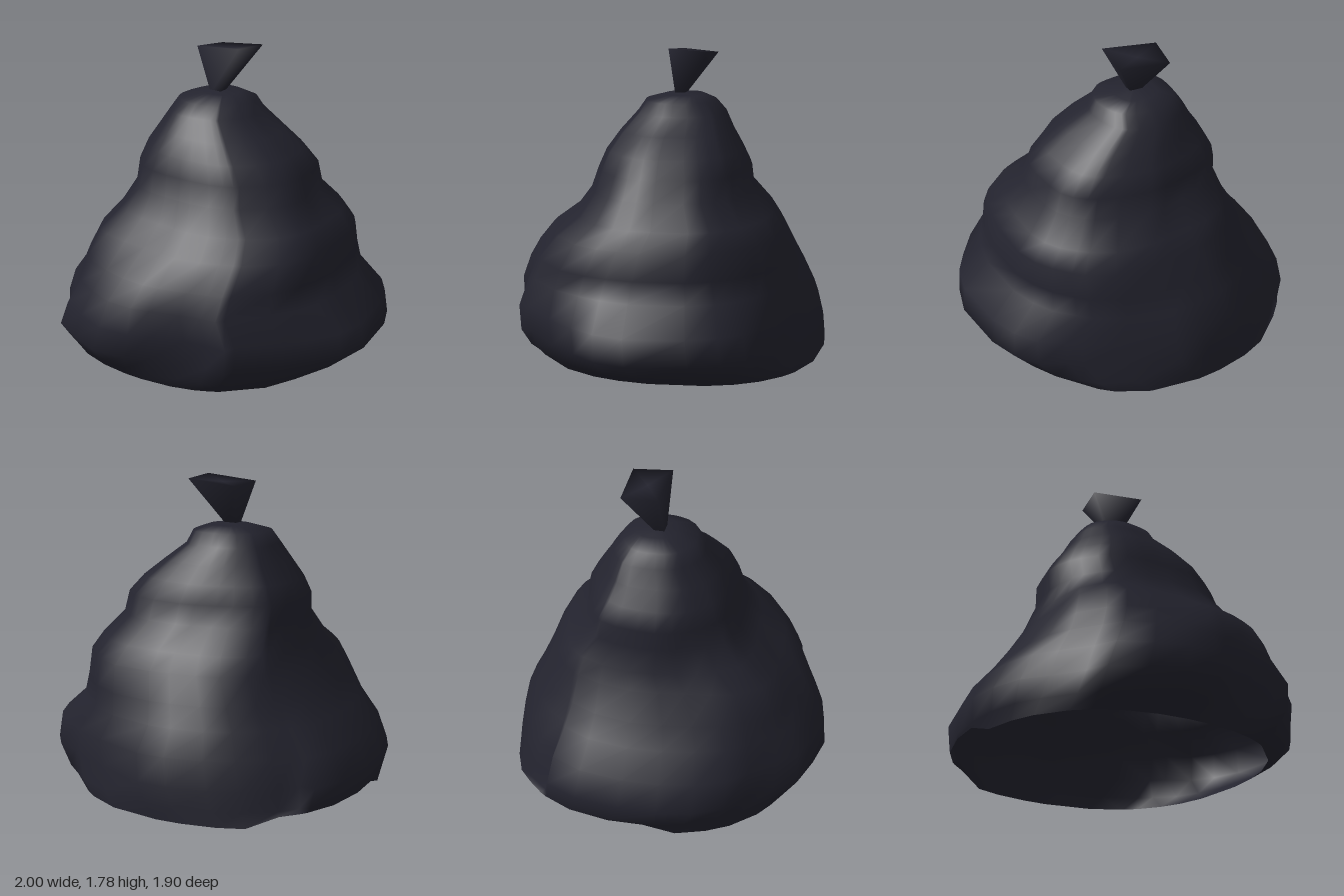
import * as THREE from 'three';

const { smoothstep, lerp } = THREE.MathUtils;

// Joins closed rings of points, listed from bottom to top, into one smooth skin
function loft(rings) {
  const n = rings[0].length, index = [];
  for (let r = 0; r < rings.length - 1; r++) {
    for (let i = 0; i < n; i++) {
      const a = r * n + i, b = r * n + (i + 1) % n;
      index.push(a, a + n, b, b, a + n, b + n);
    }
  }
  const geometry = new THREE.BufferGeometry();
  geometry.setAttribute('position', new THREE.Float32BufferAttribute(rings.flat(2), 3));
  geometry.setIndex(index);
  geometry.computeVertexNormals();
  return geometry;
}

// Crumpled plan outline at the widest height: [x, z], clockwise from above
const outline = [
  [-1, 0], [-0.98, -0.22], [-0.92, -0.48], [-0.82, -0.66], [-0.73, -0.65], [-0.65, -0.76],
  [-0.47, -0.86], [-0.3, -0.92], [-0.07, -0.95], [0.1, -0.94], [0.4, -0.8], [0.6, -0.7],
  [0.67, -0.63], [0.82, -0.55], [0.91, -0.42], [0.97, -0.25], [1, 0.09], [0.95, 0.27],
  [0.85, 0.4], [0.72, 0.55], [0.52, 0.72], [0.5, 0.79], [0.38, 0.78], [0.24, 0.8],
  [0.05, 0.87], [-0.08, 0.93], [-0.28, 0.95], [-0.47, 0.88], [-0.65, 0.79], [-0.7, 0.66],
  [-0.82, 0.5], [-0.92, 0.38], [-0.98, 0.2],
];

// Bag extents by height: [y, right, left, back, front]
const levels = [
  [0, -0.96, 0.75, -0.95, 0.8],
  [0.08, -0.975, 0.88, -0.945, 0.87],
  [0.19, -1, 1, -0.935, 0.95],
  [0.34, -0.93, 0.98, -0.9, 0.94],
  [0.48, -0.81, 0.82, -0.83, 0.88],
  [0.6, -0.72, 0.79, -0.77, 0.8],
  [0.75, -0.62, 0.76, -0.7, 0.67],
  [0.85, -0.57, 0.68, -0.63, 0.53],
  [0.98, -0.53, 0.56, -0.51, 0.44],
  [1.1, -0.54, 0.53, -0.49, 0.4],
  [1.2, -0.49, 0.44, -0.44, 0.36],
  [1.3, -0.42, 0.31, -0.38, 0.29],
  [1.4, -0.36, 0.17, -0.33, 0.2],
  [1.47, -0.31, 0.14, -0.27, 0.15],
  [1.505, -0.2, 0.04, -0.2, 0.03],
  [1.515, -0.09, -0.09, -0.06, -0.06],
];

// Bell-shaped weight around a value
const bell = (value, middle, width) => Math.exp(-(((value - middle) / width) ** 2));

function bagRing([y, x0, x1, z0, z1]) {
  // Rounded at the rim and higher up, crumpled in between
  const round = Math.max(smoothstep(y, 0.15, 0.8), 1 - smoothstep(y, 0, 0.2));
  return outline.map(([px, pz]) => {
    const angle = Math.atan2(pz / 0.95, px);
    const folds = 0.012 * Math.sin(7 * angle + 5 * y) * smoothstep(y, 0, 0.5);
    // Corner bulges on the right side, front and back
    const bulges = 0.13 * bell(angle, 2.4, 0.4) * bell(y, 0.75, 0.2)
      + 0.06 * bell(angle, -2.4, 0.4) * bell(y, 0.9, 0.25);
    const size = 1 + 0.025 * (1 - Math.cos(4 * angle)) + folds + bulges;
    const u = lerp(px, Math.cos(angle) * size, round);
    const v = lerp(pz / 0.95, Math.sin(angle) * size, round);
    const x = (x0 + x1) / 2 + u * (x1 - x0) / 2;
    const z = (z0 + z1) / 2 + v * (z1 - z0) / 2;
    // The open rim lifts slightly off the ground on one side
    const lifted = y === 0 && px < -0.4 && z < 0.1 && z > -0.85;
    return [x, lifted ? 0.06 : y, z];
  });
}

export function createModel() {
  const plastic = new THREE.MeshStandardMaterial({ color: 0x23232e, side: THREE.DoubleSide });
  plastic.name = 'dark plastic';
  const model = new THREE.Group();
  model.name = 'tiedBag';

  // Sagging body, open underneath
  const body = new THREE.Mesh(loft(levels.map(bagRing)), plastic);
  body.name = 'bagBody';

  // Gathered neck flaring above the knot, closed by a shallow dished top
  const neck = new THREE.Mesh(loft([
    [[-0.12, 1.49, -0.035], [-0.115, 1.49, -0.08], [-0.06, 1.49, -0.075], [-0.06, 1.49, -0.03]],
    [[-0.23, 1.755, -0.06], [-0.19, 1.74, -0.27], [0.11, 1.77, -0.24], [0.09, 1.783, -0.01]],
    Array(4).fill([-0.05, 1.75, -0.14]),
  ]), plastic);
  neck.name = 'tiedNeck';

  model.add(body, neck);
  return model;
}
